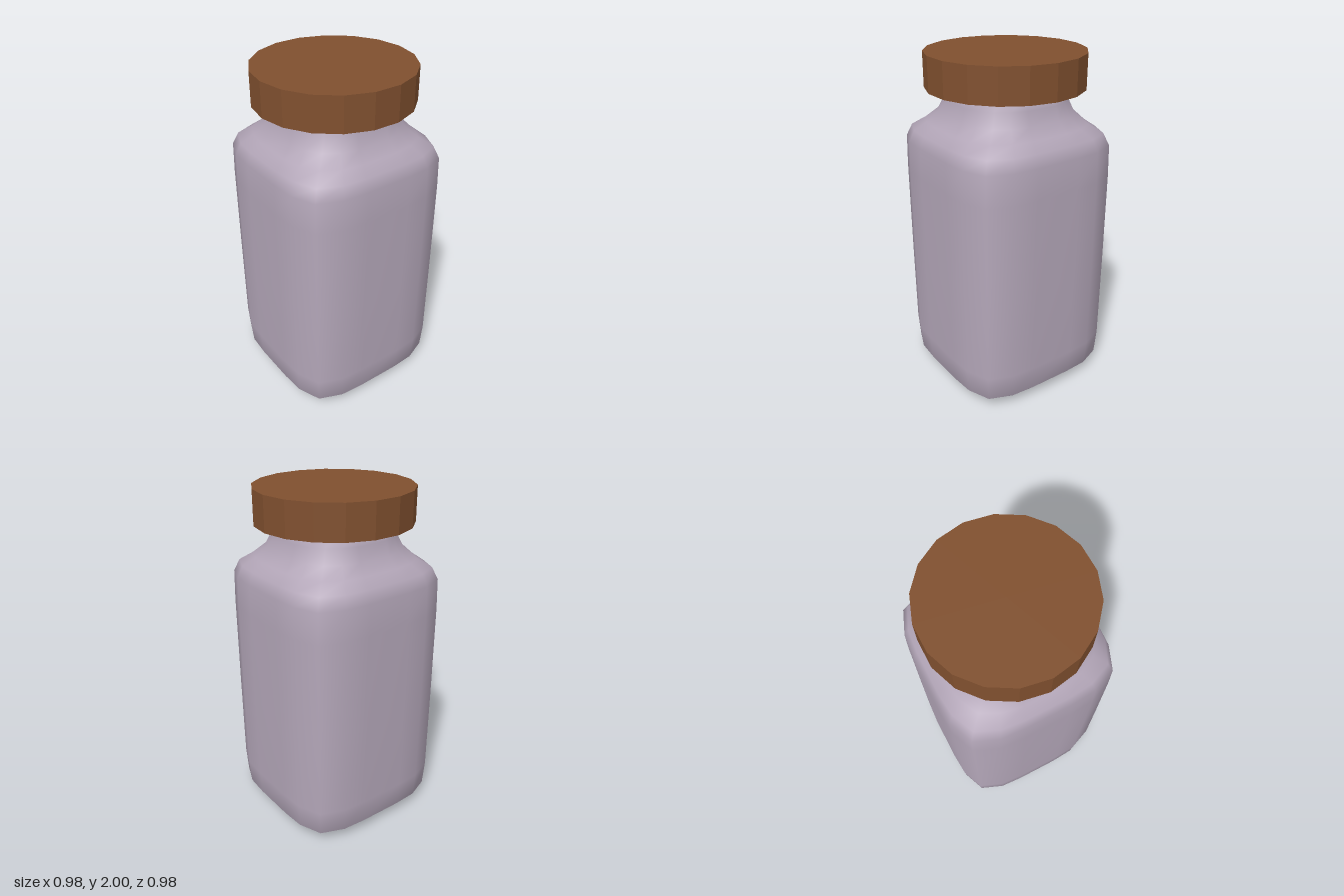
import * as THREE from 'three';

// One quarter of the rounded-square outline, as [x, z] with half-width 1
const QUARTER = [[1, -0.28], [1, 0.28], [0.98, 0.58], [0.865, 0.865], [0.58, 0.98]];

// Rings from bottom to top: [height, half-width, squareness (0 = round, 1 = rounded square)]
const RINGS = [
  [0.004, 0.22, 0.9], [0.015, 0.425, 0.95], [0.07, 0.478, 1], [0.22, 0.488, 1],
  [0.75, 0.49, 1], [1.3, 0.49, 1], [1.48, 0.486, 1], [1.55, 0.465, 0.9],
  [1.6, 0.412, 0.65], [1.66, 0.365, 0.35], [1.74, 0.342, 0.12], [1.82, 0.328, 0],
];

function outline() {
  const points = [];
  for (let q = 0; q < 4; q++) {
    const c = Math.round(Math.cos(q * Math.PI / 2));
    const s = Math.round(Math.sin(q * Math.PI / 2));
    for (const [x, z] of QUARTER) points.push([x * c - z * s, x * s + z * c]);
  }
  return points;
}

function bodyGeometry() {
  const points = outline();
  const n = points.length;
  const positions = [];
  const index = [];
  for (const [y, half, square] of RINGS) {
    for (const [x, z] of points) {
      const scale = half * THREE.MathUtils.lerp(1 / Math.hypot(x, z), 1, square);
      positions.push(x * scale, y, z * scale);
    }
  }
  // Walls between neighbouring rings
  for (let r = 0; r < RINGS.length - 1; r++) {
    for (let i = 0; i < n; i++) {
      const a = r * n + i;
      const b = r * n + (i + 1) % n;
      index.push(a, a + n, b, b, a + n, b + n);
    }
  }
  // Base and the neck end hidden in the cap
  const base = positions.length / 3;
  const last = (RINGS.length - 1) * n;
  positions.push(0, 0, 0, 0, RINGS[RINGS.length - 1][0], 0);
  for (let i = 0; i < n; i++) {
    const j = (i + 1) % n;
    index.push(base, i, j, base + 1, last + j, last + i);
  }
  const geometry = new THREE.BufferGeometry();
  geometry.setAttribute('position', new THREE.Float32BufferAttribute(positions, 3));
  geometry.setIndex(index);
  geometry.computeVertexNormals();
  return geometry;
}

export function createModel() {
  const group = new THREE.Group();
  group.name = 'jar';

  // Smooth rounded-square body that blends into a round neck
  const body = new THREE.Mesh(
    bodyGeometry(),
    new THREE.MeshStandardMaterial({ color: 0xb3a6b8 }),
  );
  body.name = 'body';

  // Faceted cap
  const cap = new THREE.Mesh(
    new THREE.CylinderGeometry(0.455, 0.455, 0.2, 18),
    new THREE.MeshStandardMaterial({ color: 0x80502f, flatShading: true }),
  );
  cap.name = 'cap';
  cap.position.y = 1.9;

  group.add(body, cap);
  return group;
}
